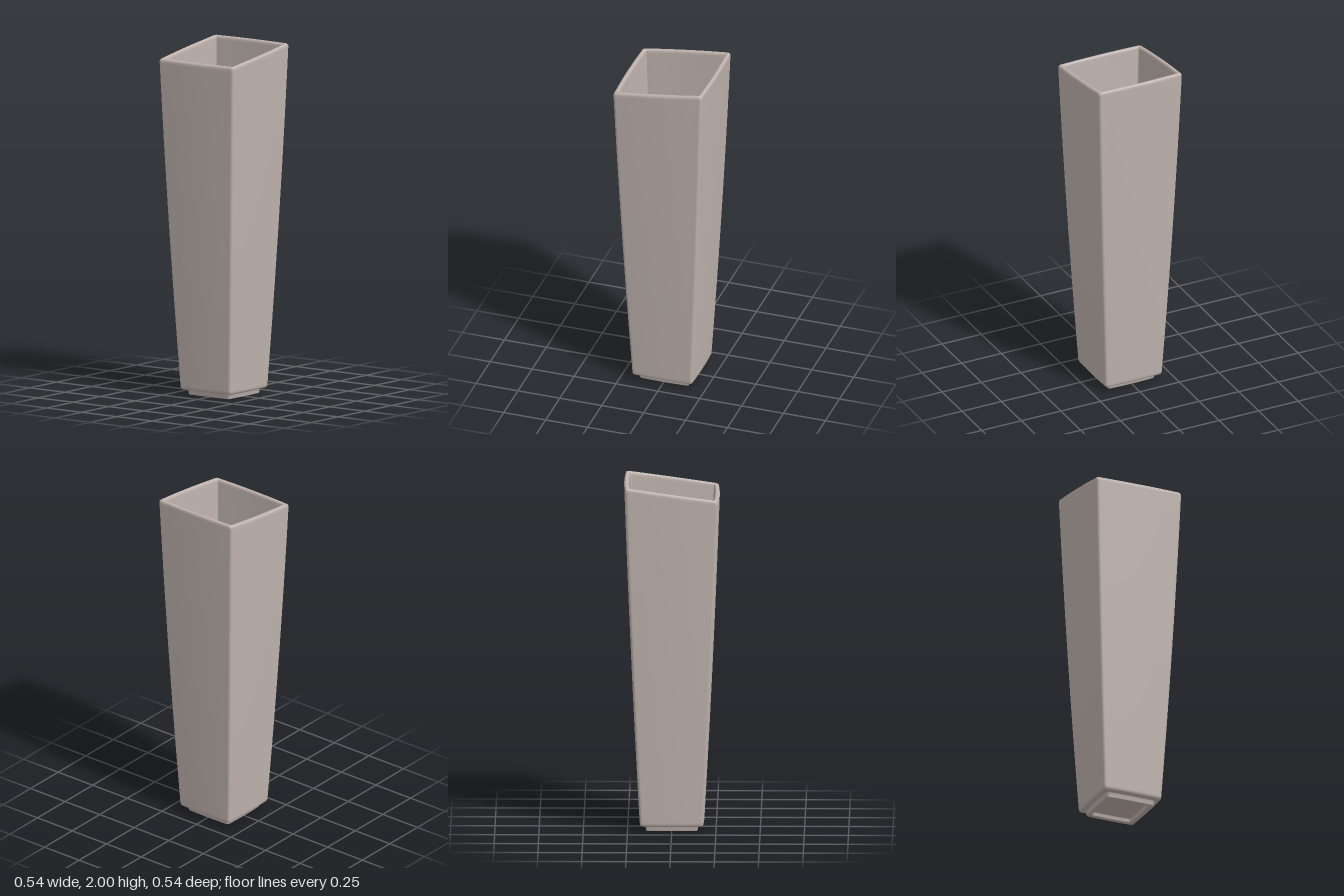
import * as THREE from 'three';

const CORNER = 6; // steps round each corner
const SIDE = 10; // steps along each side

// Rounded square with gently bowed sides, counter-clockwise seen from above
function squareRing(half, radius) {
  const points = [];
  const flat = half - radius;
  const bow = half * 0.03;
  for (let q = 0; q < 4; q++) {
    const turn = (q * Math.PI) / 2;
    const add = (u, v) => {
      const t = v / Math.max(half, 1e-6);
      const w = u - bow * t * t;
      points.push([
        w * Math.cos(turn) - v * Math.sin(turn),
        w * Math.sin(turn) + v * Math.cos(turn),
      ]);
    };
    for (let i = 0; i < SIDE; i++) add(half, flat * ((2 * i) / SIDE - 1));
    for (let i = 0; i < CORNER; i++) {
      const a = (i / CORNER) * Math.PI / 2;
      const k = bow * (1 - Math.sin(a)) * (flat / Math.max(half, 1e-6)) ** 2;
      const k2 = bow * (1 - Math.cos(a)) * (flat / Math.max(half, 1e-6)) ** 2;
      const u = flat + radius * Math.cos(a) - k;
      const v = flat + radius * Math.sin(a) - k2;
      points.push([
        u * Math.cos(turn) - v * Math.sin(turn),
        u * Math.sin(turn) + v * Math.cos(turn),
      ]);
    }
  }
  return points;
}

// The upper part leans so that the rim rises towards +x
const slant = (x, y) => y + 0.14 * x * THREE.MathUtils.clamp((y - 0.15) / 1.8, 0, 1);

// Skin through rows of [half width, height, corner radius]
function loft(rows) {
  const positions = [];
  const index = [];
  const n = 4 * (SIDE + CORNER);
  rows.forEach(([half, y, radius], r) => {
    for (const [x, d] of squareRing(half, radius)) positions.push(x, slant(x, y), -d);
    if (r === 0) return;
    for (let j = 0; j < n; j++) {
      const a = (r - 1) * n + j;
      const b = (r - 1) * n + ((j + 1) % n);
      index.push(a, b, b + n, a, b + n, a + n);
    }
  });
  const geometry = new THREE.BufferGeometry();
  geometry.setAttribute('position', new THREE.Float32BufferAttribute(positions, 3));
  geometry.setIndex(index);
  geometry.computeVertexNormals();
  return geometry;
}

// Tapering wall rows between two heights, slightly convex
function wall(y0, y1, half0, half1, r0, r1, steps) {
  return Array.from({ length: steps + 1 }, (_, i) => {
    const t = i / steps;
    const lerp = THREE.MathUtils.lerp;
    return [lerp(half0, half1, t) + 0.02 * t * (1 - t), lerp(y0, y1, t), lerp(r0, r1, t)];
  });
}

export function createModel() {
  const group = new THREE.Group();
  group.name = 'vase';
  const ceramic = new THREE.MeshStandardMaterial({ color: 0xbfb3ae });
  ceramic.name = 'warm grey ceramic';

  const add = (name, rows) => {
    const mesh = new THREE.Mesh(loft(rows), ceramic);
    mesh.name = name;
    group.add(mesh);
  };

  // Outer wall, rounded rim, inner wall and floor
  add('body', [
    [0.14, 0.03, 0.02],
    [0.165, 0.03, 0.02],
    [0.172, 0.031, 0.022],
    [0.179, 0.035, 0.024],
    [0.183, 0.043, 0.025],
    ...wall(0.055, 1.94, 0.184, 0.27, 0.025, 0.03, 16),
    [0.27, 1.952, 0.03],
    [0.267, 1.959, 0.03],
    [0.262, 1.963, 0.028],
    [0.257, 1.964, 0.026],
    [0.251, 1.963, 0.023],
    [0.246, 1.959, 0.021],
    [0.243, 1.952, 0.02],
    ...wall(0.1, 1.94, 0.163, 0.243, 0.018, 0.02, 16).reverse(),
    [0.161, 0.09, 0.018],
    [0.157, 0.083, 0.018],
    [0.15, 0.08, 0.018],
    [0.14, 0.08, 0.017],
    [0.07, 0.08, 0.01],
    [0, 0.08, 0],
  ]);

  // Foot ring with a recessed underside
  add('foot', [
    [0, 0.025, 0],
    [0.06, 0.025, 0.01],
    [0.11, 0.025, 0.014],
    [0.117, 0.024, 0.014],
    [0.121, 0.02, 0.015],
    [0.122, 0.006, 0.015],
    [0.124, 0.002, 0.015],
    [0.128, 0, 0.016],
    [0.143, 0, 0.018],
    [0.147, 0.001, 0.02],
    [0.149, 0.005, 0.02],
    [0.151, 0.025, 0.02],
    [0.155, 0.031, 0.02],
  ]);

  return group;
}
